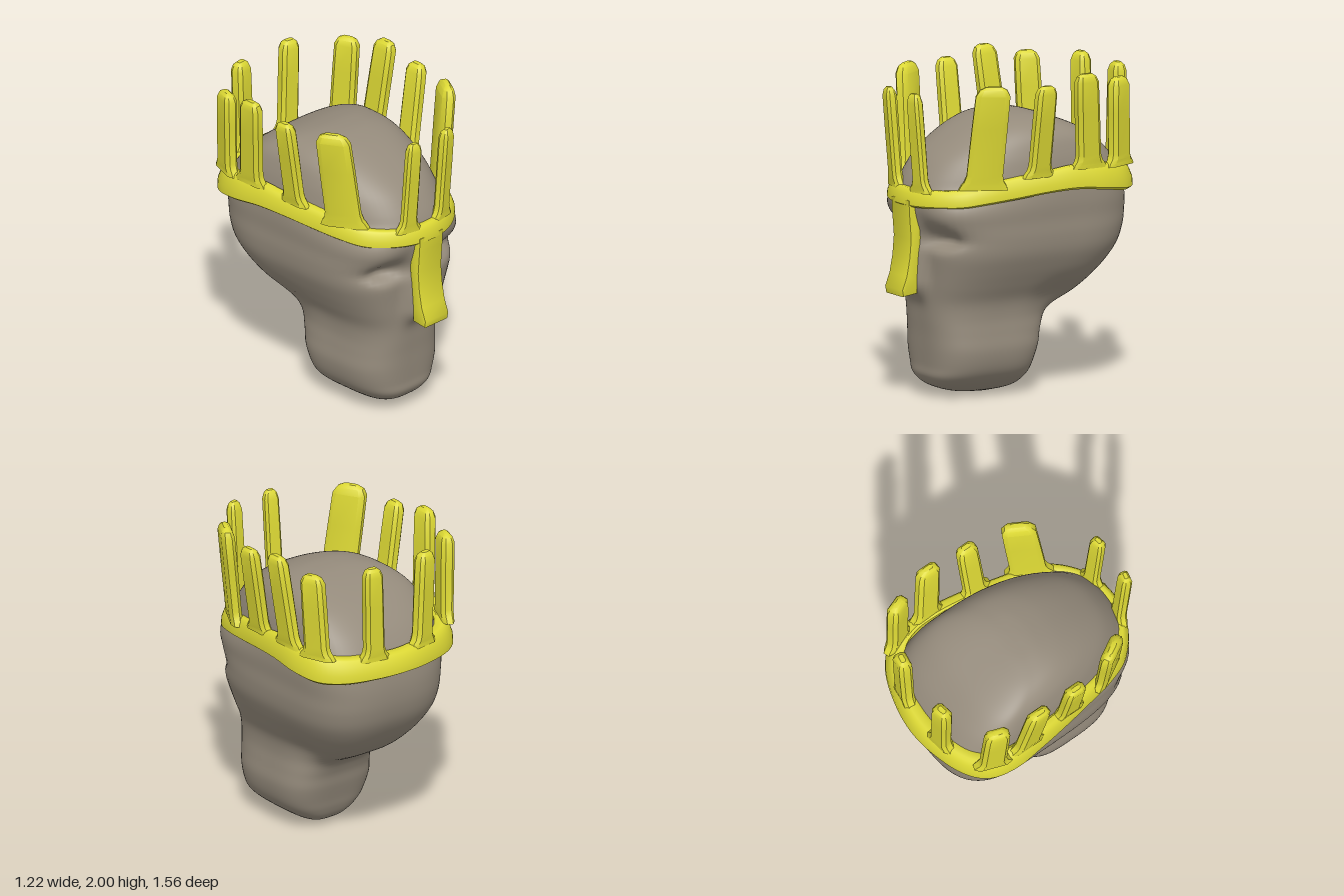
import * as THREE from 'three';
import { toCreasedNormals } from 'three/addons/utils/BufferGeometryUtils.js';

const gold = new THREE.MeshStandardMaterial({ color: 0xdcd834 });
gold.name = 'yellow gold';
const clay = new THREE.MeshStandardMaterial({ color: 0x958b7c });
clay.name = 'warm grey';

// Skin a stack of rings; closed joins last to first, otherwise ends are capped
function loft(rings, closed = false) {
  const n = rings[0].length, m = rings.length;
  const pos = rings.flat().flatMap((p) => [p.x, p.y, p.z]);
  const idx = [];
  for (let i = 0; i < (closed ? m : m - 1); i++) {
    for (let j = 0; j < n; j++) {
      const k = (j + 1) % n, r = ((i + 1) % m) * n;
      const a = i * n + j, b = i * n + k, c = r + j, d = r + k;
      idx.push(a, c, b, b, c, d);
    }
  }
  if (!closed) {
    for (const e of [0, m - 1]) {
      const c = new THREE.Vector3();
      rings[e].forEach((p) => c.addScaledVector(p, 1 / n));
      const ci = pos.length / 3;
      pos.push(c.x, c.y, c.z);
      for (let j = 0; j < n; j++) {
        const a = e * n + j, b = e * n + ((j + 1) % n);
        if (e === 0) idx.push(ci, a, b); else idx.push(ci, b, a);
      }
    }
  }
  const g = new THREE.BufferGeometry();
  g.setAttribute('position', new THREE.Float32BufferAttribute(pos, 3));
  g.setIndex(idx);
  g.computeVertexNormals();
  return g;
}

function addMesh(parent, name, geometry, material) {
  const mesh = new THREE.Mesh(geometry, material);
  mesh.name = name;
  parent.add(mesh);
}

// Head levels: y, half width, front z, back z, z of widest point
const HEAD = [
  [0.003, 0.03, 0.2, 0.1, 0.15], [0.03, 0.12, 0.4, -0.02, 0.2], [0.07, 0.19, 0.51, -0.07, 0.2],
  [0.13, 0.26, 0.565, -0.1, 0.2], [0.2, 0.3, 0.57, -0.12, 0.2], [0.3, 0.32, 0.578, -0.15, 0.2],
  [0.4, 0.312, 0.585, -0.175, 0.2], [0.5, 0.305, 0.595, -0.24, 0.19], [0.6, 0.32, 0.602, -0.42, 0.13],
  [0.7, 0.37, 0.608, -0.54, 0.02], [0.8, 0.42, 0.612, -0.625, -0.1], [0.9, 0.46, 0.62, -0.685, -0.18],
  [1.0, 0.475, 0.635, -0.715, -0.23], [1.1, 0.475, 0.66, -0.725, -0.26], [1.2, 0.48, 0.685, -0.72, -0.28],
  [1.3, 0.475, 0.675, -0.7, -0.29], [1.4, 0.46, 0.62, -0.645, -0.28], [1.5, 0.438, 0.53, -0.56, -0.26],
  [1.6, 0.395, 0.38, -0.43, -0.2], [1.67, 0.31, 0.23, -0.27, -0.1], [1.705, 0.18, 0.1, -0.13, -0.03],
  [1.714, 0.04, 0.02, -0.04, -0.01],
];

function headGeometry() {
  const rings = [], sub = 5, sides = 96, last = HEAD.length - 1;
  const ease = THREE.MathUtils.smoothstep;
  const spline = (col, i, t) => {
    const p = (k) => HEAD[Math.min(last, Math.max(0, k))][col];
    const v0 = (p(i + 1) - p(i - 1)) / 2, v1 = (p(i + 2) - p(i)) / 2;
    const a = p(i), b = p(i + 1);
    return a + v0 * t + (3 * (b - a) - 2 * v0 - v1) * t * t + (2 * (a - b) + v0 + v1) * t ** 3;
  };
  for (let s = 0; s <= last * sub; s++) {
    const i = Math.min(last - 1, Math.floor(s / sub)), t = s / sub - i;
    const [y, w, zf, zb, zc] = [0, 1, 2, 3, 4].map((c) => spline(c, i, t));
    // Squareness of each section: broad flat face, rounder crown
    const nf = 3.1 + 0.8 * ease(y, 0.5, 0.9) - 1.5 * ease(y, 1.12, 1.34);
    const nb = 3.5 - 0.4 * ease(y, 0.6, 1.0);
    const ring = [];
    for (let j = 0; j < sides; j++) {
      const a = (j / sides) * Math.PI * 2, c = Math.cos(a), sn = Math.sin(a);
      const n = sn > 0 ? nf : nb;
      const r = (Math.abs(c) ** n + Math.abs(sn) ** n) ** (-1 / n);
      let x = w * r * c;
      let z = zc + Math.abs(sn > 0 ? zf - zc : zb - zc) * r * sn;
      // Hollow beside the neck, behind the jaw
      x *= 1 - 0.16 * Math.exp(-(((y - 0.56) / 0.12) ** 2) - ((z + 0.2) / 0.15) ** 2);
      if (sn > 0) {
        // Nose ridge and eye sockets with a sharper lower lid
        const nose = Math.exp(-((x / 0.115) ** 4) - ((y - 0.73) / (y < 0.73 ? 0.09 : 0.3)) ** 2);
        const lid = (y - 1.0) / (y < 1.0 ? 0.05 : 0.075);
        const socket = Math.exp(-(((Math.abs(x) - 0.25) / 0.125) ** 2) - lid * lid);
        z += 0.105 * nose - 0.1 * socket;
      }
      ring.push(new THREE.Vector3(x, y, z));
    }
    rings.push(ring);
  }
  return loft(rings);
}

// Crown band, front to back: outer x, z, bottom y, top y, thickness
const BAND = [
  [0, 0.737, 1.2, 1.31, 0.075], [0.14, 0.715, 1.2, 1.31, 0.075], [0.27, 0.65, 1.205, 1.31, 0.075],
  [0.385, 0.535, 1.21, 1.32, 0.08], [0.45, 0.38, 1.23, 1.35, 0.085], [0.49, 0.2, 1.25, 1.38, 0.085],
  [0.53, 0, 1.275, 1.405, 0.085], [0.56, -0.2, 1.285, 1.43, 0.095], [0.572, -0.4, 1.265, 1.425, 0.105],
  [0.525, -0.57, 1.24, 1.41, 0.115], [0.4, -0.685, 1.235, 1.39, 0.12], [0.2, -0.758, 1.24, 1.385, 0.12],
  [0, -0.785, 1.245, 1.38, 0.12],
];

function bandGeometry() {
  const loop = [...BAND, ...BAND.slice(1, -1).reverse().map(([x, ...r]) => [-x, ...r])];
  const curve = (col) => new THREE.CatmullRomCurve3(
    loop.map((p) => new THREE.Vector3(p[0], p[col], p[1])), true, 'catmullrom');
  const low = curve(2), high = curve(3), thick = curve(4);
  // Section: inward offset as part of thickness, fraction of height
  const section = [[0.2, 0], [0, 0.1], [0.02, 0.4], [0.18, 0.72], [0.34, 0.94],
    [0.48, 1], [0.86, 1], [1, 0.92], [0.95, 0]];
  const rings = [];
  for (let i = 0; i < 120; i++) {
    const a = low.getPoint(i / 120), b = high.getPoint(i / 120), t = low.getTangent(i / 120);
    const w = thick.getPoint(i / 120).y;
    const l = Math.hypot(t.x, t.z), nx = -t.z / l, nz = t.x / l;
    rings.push(section.map(([d, h]) =>
      new THREE.Vector3(a.x - nx * d * w, a.y + (b.y - a.y) * h, a.z - nz * d * w)));
  }
  return toCreasedNormals(loft(rings, true), 0.7);
}

// Upright tine with a filleted foot and a chamfered tip
function tineGeometry([bx, by, bz], [tx, ty, tz], [nx, nz], halfWidth, halfThick, side) {
  const base = new THREE.Vector3(bx * side, by, bz), tip = new THREE.Vector3(tx * side, ty, tz);
  const out = new THREE.Vector3(nx * side, 0, nz).normalize();
  const along = new THREE.Vector3(out.z, 0, -out.x);
  const outline = [[1, 0.5], [0.7, 1], [-0.7, 1], [-1, 0.5], [-1, -0.5], [-0.7, -1], [0.7, -1], [1, -0.5]];
  // Height fraction, added half width, width scale, thickness scale
  const levels = [[0, 0.04, 1, 0.9], [0.045, 0.026, 1, 0.9], [0.08, 0.01, 1, 0.95],
    [0.14, 0, 1, 0.95], [0.6, 0, 0.98, 1], [0.91, 0, 0.95, 1], [0.97, 0, 0.75, 0.75], [1, 0, 0.42, 0.35]];
  const rings = levels.map(([h, add, scale, thick]) => outline.map(([u, v]) =>
    base.clone().lerp(tip, h)
      .addScaledVector(along, u * (halfWidth * scale + add))
      .addScaledVector(out, v * thick * halfThick)));
  return toCreasedNormals(loft(rings), 0.6);
}

// Foot, tip, outward direction, half width, half thickness
const TINES = [
  [[0.14, 1.29, 0.668], [0.14, 1.905, 0.72], [0.2, 1], 0.05, 0.034],
  [[0.4, 1.32, 0.39], [0.487, 1.965, 0.368], [0.87, 0.5], 0.11, 0.042],
  [[0.478, 1.375, 0.04], [0.565, 1.95, 0.038], [1, 0], 0.07, 0.04],
  [[0.515, 1.405, -0.295], [0.575, 2.0, -0.24], [1, 0], 0.08, 0.04],
  [[0.49, 1.395, -0.53], [0.515, 1.945, -0.51], [0.94, -0.34], 0.08, 0.042],
  [[0.185, 1.36, -0.695], [0.205, 1.97, -0.702], [0.15, -1], 0.064, 0.044],
];

function noseGuardGeometry() {
  // Side profile in z and y, extruded across x
  const front = [[0.722, 1.23], [0.718, 1.15], [0.706, 1.0], [0.716, 0.88], [0.737, 0.77], [0.768, 0.69], [0.762, 0.66]];
  const back = [[0.68, 0.67], [0.68, 0.75], [0.665, 0.9], [0.655, 1.0], [0.66, 1.23]];
  const shape = new THREE.Shape([...front, ...back].map(([z, y]) => new THREE.Vector2(z, y)));
  const g = new THREE.ExtrudeGeometry(shape, {
    depth: 0.18, bevelEnabled: true, bevelSize: 0.01, bevelThickness: 0.01, bevelSegments: 2,
  });
  g.rotateY(-Math.PI / 2);
  g.translate(0.09, 0, 0);
  return toCreasedNormals(g, 0.7);
}

export function createModel() {
  const model = new THREE.Group();
  model.name = 'crownedHead';
  addMesh(model, 'head', headGeometry(), clay);

  const crown = new THREE.Group();
  crown.name = 'crown';
  model.add(crown);
  addMesh(crown, 'crownBand', bandGeometry(), gold);
  addMesh(crown, 'noseGuard', noseGuardGeometry(), gold);
  TINES.forEach((tine, i) => {
    for (const side of [1, -1]) {
      addMesh(crown, `${side > 0 ? 'left' : 'right'}Tine${i + 1}`, tineGeometry(...tine, side), gold);
    }
  });
  return model;
}
